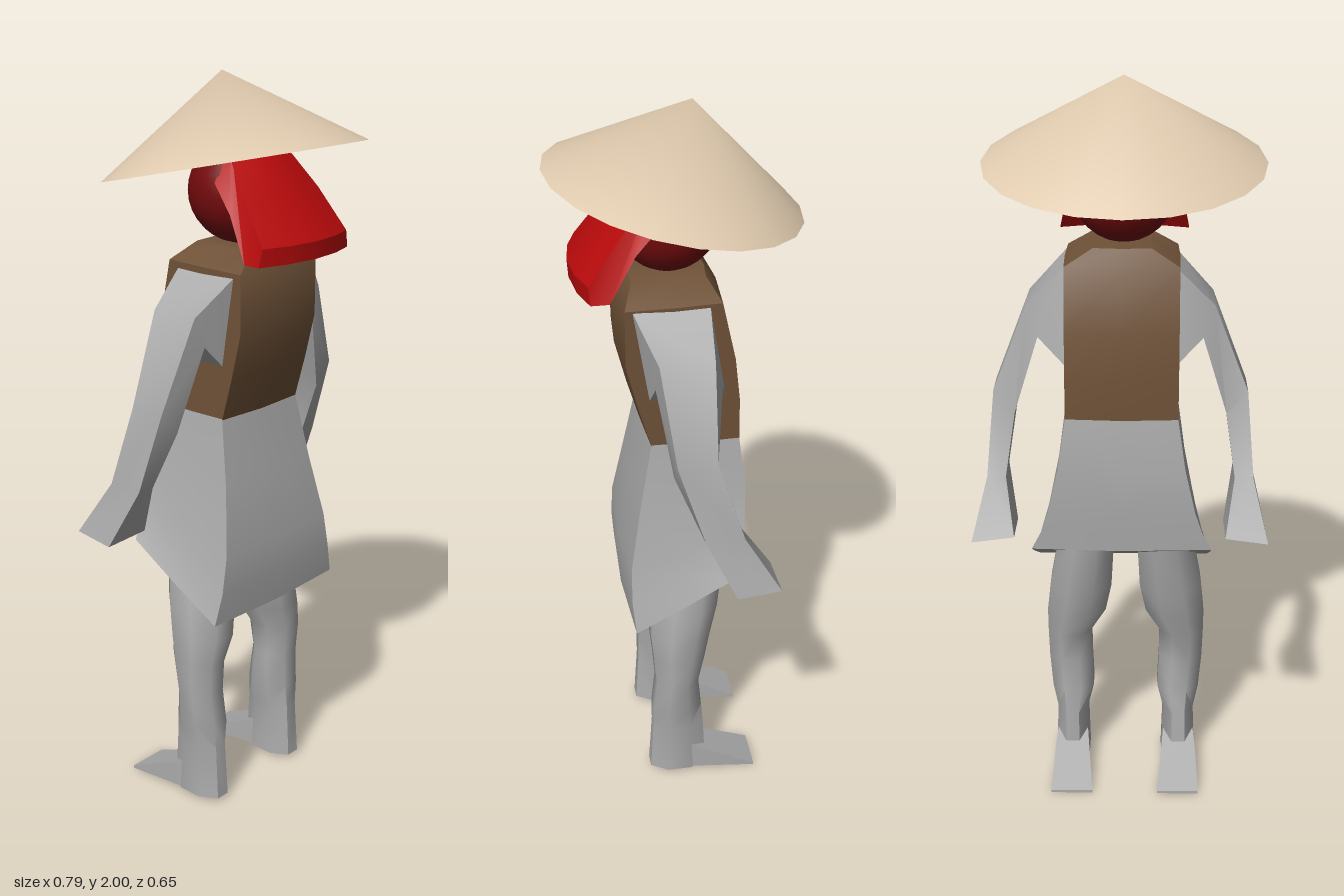
import * as THREE from 'three';
import { mergeVertices, toCreasedNormals } from 'three/addons/utils/BufferGeometryUtils.js';

const material = (name, color, side = THREE.FrontSide) => {
  const m = new THREE.MeshStandardMaterial({ color, side });
  m.name = name;
  return m;
};

// Skin a list of equal-length rings of [x, y, z] points, with closed ends.
function loft(rings, crease = 0.7) {
  const n = rings[0].length;
  const points = rings.flat().map((p) => new THREE.Vector3(...p));
  let faces = [];
  for (let r = 0; r < rings.length - 1; r++) {
    for (let i = 0; i < n; i++) {
      const a = r * n + i, b = r * n + (i + 1) % n;
      faces.push([a, b, b + n], [a, b + n, a + n]);
    }
  }
  const last = (rings.length - 1) * n;
  for (let i = 1; i < n - 1; i++) {
    faces.push([0, i + 1, i], [last, last + i, last + i + 1]);
  }
  // Turn the skin outward, whichever way the rings run
  const mid = points.reduce((s, p) => s.add(p), new THREE.Vector3()).divideScalar(points.length);
  let volume = 0;
  for (const f of faces) {
    const [a, b, c] = f.map((k) => points[k].clone().sub(mid));
    volume += a.dot(b.cross(c));
  }
  if (volume < 0) faces = faces.map(([a, b, c]) => [a, c, b]);
  const g = new THREE.BufferGeometry().setFromPoints(points);
  g.setIndex(faces.flat());
  return toCreasedNormals(g.toNonIndexed(), crease);
}

// Boxy body ring with slightly bowed sides; front and back set separately.
function bodyRing([yF, zF, hwF, yB, zB, hwB]) {
  const cz = (zF + zB) / 2;
  const corner = (z) => cz + (z - cz) * 0.93;
  const yM = (yF + yB) / 2, hwM = (hwF + hwB) / 2;
  const cx = -0.004;
  return [
    [cx - hwF, yF, corner(zF)], [cx, yF, zF], [cx + hwF, yF, corner(zF)],
    [cx + hwM + 0.003, yM, cz],
    [cx + hwB, yB, corner(zB)], [cx, yB, zB], [cx - hwB, yB, corner(zB)],
    [cx - hwM - 0.003, yM, cz],
  ];
}

// Eight-sided leg ring between two x and two z limits.
function legRing([y, x0, x1, z0, z1]) {
  const ring = [];
  for (let i = 0; i < 8; i++) {
    const a = (i + 0.5) * Math.PI / 4;
    ring.push([
      (x0 + x1) / 2 + (x1 - x0) / 2 * Math.cos(a) / Math.cos(Math.PI / 8), y,
      (z0 + z1) / 2 + (z1 - z0) / 2 * Math.sin(a) / Math.cos(Math.PI / 8),
    ]);
  }
  return ring;
}

const mirror = (rings, s, cx = 0) => rings.map((r) => r.map(([x, y, z]) => [cx + x * s, y, z]));

export function createModel() {
  const model = new THREE.Group();
  model.name = 'strawHatFigure';
  const straw = material('straw', 0xdfcaae, THREE.DoubleSide);
  const red = material('red', 0xb80a0b);
  const darkRed = material('darkRed', 0x740b0d);
  const brown = material('brown', 0x6f5238);
  const grey = material('grey', 0xacacac);
  const add = (name, geometry, mat) => {
    const mesh = new THREE.Mesh(geometry, mat);
    mesh.name = name;
    model.add(mesh);
    return mesh;
  };

  // Hat: open cone with shared smooth normals, tipped down toward -z
  let cone = new THREE.ConeGeometry(1, 0.228, 20, 1, true);
  cone.deleteAttribute('uv');
  cone.deleteAttribute('normal');
  cone = mergeVertices(cone);
  cone.computeVertexNormals();
  cone.translate(0, 0.114, 0);
  cone.scale(0.364, 1, 0.33);
  const hat = add('hat', cone, straw);
  hat.position.set(-0.008, 1.7765, 0);
  hat.rotation.x = -0.208;

  // Head
  add('head', new THREE.SphereGeometry(0.135, 24, 16), darkRed).position.set(-0.007, 1.705, 0.015);

  // Head scarf: flap that hugs the head, then widens as it hangs; [z, y, half width]
  const flap = [[0.085, 1.835, 0.075], [0.125, 1.79, 0.115], [0.19, 1.71, 0.143],
    [0.268, 1.605, 0.164], [0.265, 1.56, 0.174], [0.218, 1.56, 0.174],
    [0.15, 1.67, 0.15], [0.08, 1.74, 0.13]];
  const scarf = [-1, -0.55, 0, 0.55, 1].map((u) =>
    flap.map(([z, y, hw]) => [u * hw - 0.007, y, z - 0.035 * u * u]));
  add('scarf', loft(scarf, 0.6), red);

  // Torso
  add('torso', loft([
    [1.13, 0.09, 0.148, 1.13, -0.16, 0.148],
    [1.25, 0.125, 0.148, 1.25, -0.16, 0.148],
    [1.37, 0.155, 0.148, 1.37, -0.147, 0.148],
    [1.525, 0.154, 0.148, 1.53, -0.11, 0.148],
    [1.572, 0.125, 0.075, 1.572, -0.078, 0.075],
  ].map(bodyRing)), brown);

  // Skirt with a slanting hem
  add('skirt', loft([
    [1.135, 0.09, 0.148, 1.135, -0.16, 0.148],
    [0.96, 0.125, 0.17, 1.0, -0.177, 0.168],
    [0.78, 0.158, 0.203, 0.87, -0.174, 0.197],
    [0.68, 0.16, 0.222, 0.81, -0.17, 0.217],
    [0.592, 0.152, 0.244, 0.758, -0.166, 0.243],
  ].map(bodyRing)), grey);

  for (const [side, s] of [['left', 1], ['right', -1]]) {
    // Arm and mitten hand: four-cornered rings from shoulder to fingertips
    const arm = [
      [[0.145, 1.52, 0.125], [0.145, 1.52, -0.07], [0.145, 1.27, -0.112], [0.145, 1.27, 0.085]],
      [[0.245, 1.42, 0.075], [0.245, 1.42, -0.065], [0.215, 1.34, -0.09], [0.215, 1.34, 0.08]],
      [[0.338, 1.18, 0.045], [0.338, 1.18, -0.058], [0.282, 1.12, -0.068], [0.282, 1.12, 0.045]],
      [[0.355, 0.96, -0.025], [0.355, 0.96, -0.128], [0.305, 0.96, -0.128], [0.305, 0.96, -0.025]],
      [[0.393, 0.797, -0.105], [0.393, 0.81, -0.222], [0.28, 0.822, -0.215], [0.28, 0.815, -0.085]],
    ];
    add(side + 'Arm', loft(mirror(arm, s), 0.45), grey);

    // Leg and heel: [y, inner x, outer x, back z, front z]
    const leg = [
      [0.78, 0.03, 0.178, -0.125, 0.07],
      [0.59, 0.04, 0.212, -0.1, 0.083],
      [0.5, 0.057, 0.222, -0.078, 0.088],
      [0.43, 0.098, 0.222, -0.062, 0.082],
      [0.34, 0.097, 0.22, -0.045, 0.075],
      [0.24, 0.093, 0.212, -0.055, 0.084],
      [0.17, 0.11, 0.198, -0.062, 0.085],
      [0.012, 0.106, 0.204, -0.07, 0.094],
    ].map(legRing);
    add(side + 'Leg', loft(mirror(leg, s, -0.014), 1), grey);

    // Foot: wedge from the ankle to a thin, wide toe
    const foot = [[-0.02, 0.1, 0.112, 0.198, 0.012], [-0.08, 0.07, 0.106, 0.204, 0.011],
      [-0.212, 0.008, 0.093, 0.21, 0]].map(([z, top, x0, x1, sole]) =>
      [[x0, sole, z], [x1, sole, z], [x1, top, z], [x0, top, z]]);
    add(side + 'Foot', loft(mirror(foot, s, -0.014), 0.3), grey);
  }
  return model;
}
